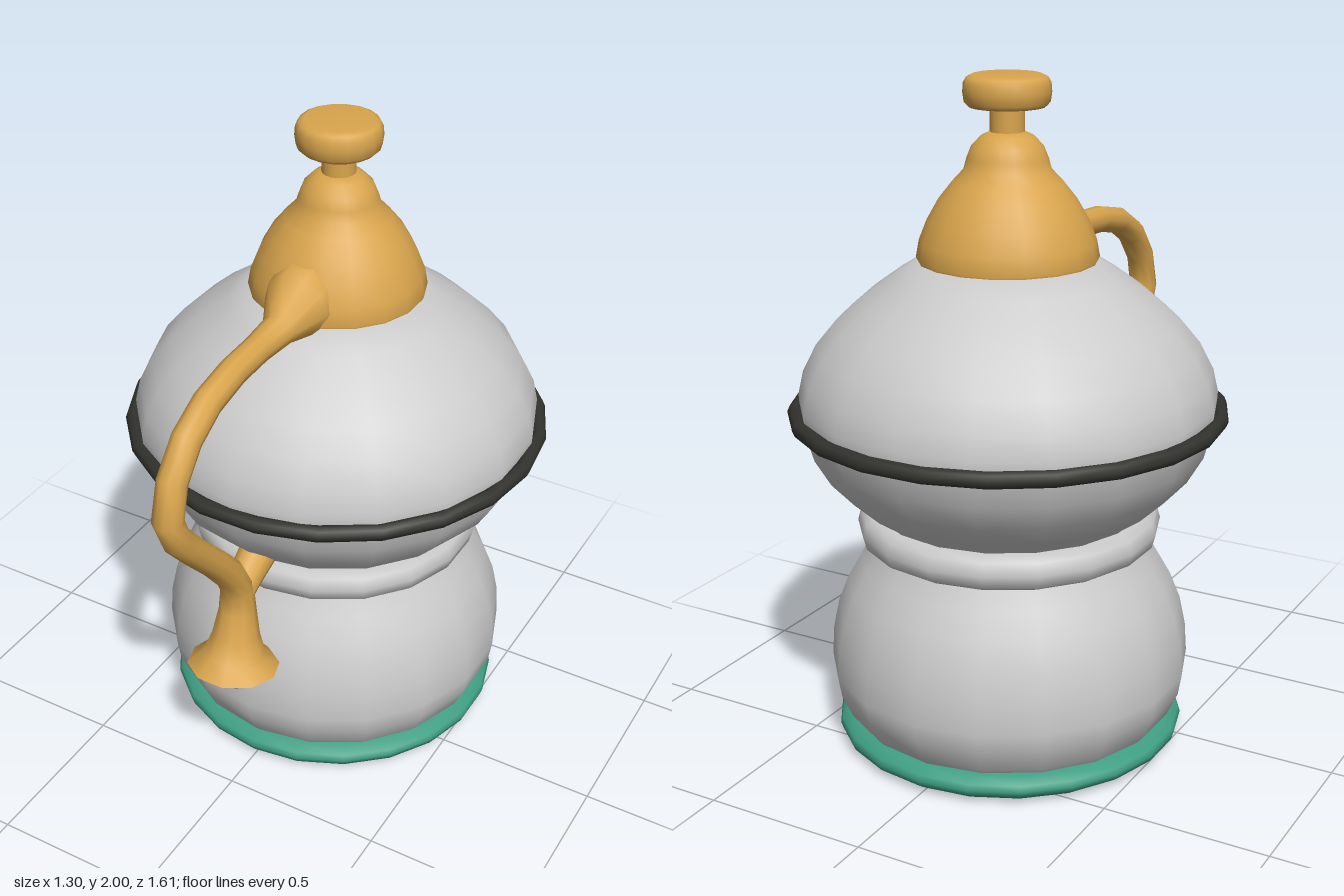
import * as THREE from 'three';

const CENTER_Z = -0.16;
const mat = (color) => new THREE.MeshStandardMaterial({ color });

export function createModel() {
  const group = new THREE.Group();
  const grey = mat(0xcccccc);
  const brass = mat(0xd9a54d);
  const black = mat(0x32322e);
  const green = mat(0x3f9f83);

  const add = (name, geometry, material) => {
    const mesh = new THREE.Mesh(geometry, material);
    mesh.name = name;
    group.add(mesh);
    return mesh;
  };

  // Turned part from [radius, height] points, bottom to top
  const turned = (name, points, material, sides = 18) => {
    const profile = points.map(([r, y]) => new THREE.Vector2(r, y));
    add(name, new THREE.LatheGeometry(profile, sides), material).position.z = CENTER_Z;
  };

  // Round section of varying radius swept along [z, y, radius] points in the x = 0 plane
  const swept = (name, path, material, sides = 10) => {
    const pos = [];
    const index = [];
    path.forEach(([z, y, r], i) => {
      const p = path[Math.max(i - 1, 0)];
      const n = path[Math.min(i + 1, path.length - 1)];
      const len = Math.hypot(n[0] - p[0], n[1] - p[1]);
      const tz = (n[0] - p[0]) / len;
      const ty = (n[1] - p[1]) / len;
      for (let j = 0; j < sides; j++) {
        const a = (j / sides) * Math.PI * 2;
        const s = r * Math.sin(a);
        pos.push(r * Math.cos(a), y + s * tz, z - s * ty);
        if (i === path.length - 1) continue;
        const k = (j + 1) % sides;
        const b = i * sides;
        index.push(b + j, b + k, b + sides + j, b + k, b + sides + k, b + sides + j);
      }
    });
    const geometry = new THREE.BufferGeometry();
    geometry.setAttribute('position', new THREE.Float32BufferAttribute(pos, 3));
    geometry.setIndex(index);
    geometry.computeVertexNormals();
    add(name, geometry, material);
  };

  // Foot plate with rounded rim
  turned('footPlate', [
    [0, 0], [0.46, 0], [0.5, 0.008], [0.524, 0.025], [0.53, 0.043],
    [0.524, 0.06], [0.5, 0.078], [0.46, 0.085], [0, 0.085],
  ], green, 22);

  // Lower and upper vessel
  turned('lowerVessel', [
    [0.47, 0.06], [0.505, 0.1], [0.537, 0.17], [0.547, 0.23], [0.541, 0.32],
    [0.522, 0.41], [0.49, 0.49], [0.45, 0.56], [0.41, 0.63], [0.39, 0.68],
  ], grey);
  turned('upperVessel', [
    [0.37, 0.69], [0.415, 0.735], [0.48, 0.78], [0.545, 0.85], [0.592, 0.93],
    [0.617, 1.02], [0.619, 1.07], [0.603, 1.14], [0.562, 1.22], [0.5, 1.295],
    [0.42, 1.365], [0.33, 1.43], [0.25, 1.48], [0, 1.5],
  ], grey);

  // Rounded collar at the waist
  turned('waistCollar', [
    [0.36, 0.62], [0.42, 0.62], [0.446, 0.635], [0.456, 0.672],
    [0.446, 0.71], [0.42, 0.725], [0.36, 0.725],
  ], grey);

  // Dark band around the widest line
  const band = new THREE.TorusGeometry(0.626, 0.025, 8, 22);
  band.rotateX(Math.PI / 2);
  add('bellyBand', band, black).position.set(0, 1.025, CENTER_Z);

  // Bell-shaped cap, its stem and knob
  turned('cap', [
    [0.255, 1.46], [0.265, 1.48], [0.256, 1.53], [0.232, 1.59], [0.198, 1.65],
    [0.158, 1.7], [0.125, 1.735], [0.117, 1.765], [0.103, 1.8], [0.076, 1.828],
    [0.05, 1.84], [0, 1.84],
  ], brass);
  turned('capUnderside', [[0, 1.46], [0.255, 1.46]], brass);
  turned('knobStem', [[0.05, 1.83], [0.05, 1.92]], brass);
  turned('knob', [
    [0, 1.91], [0.11, 1.91], [0.122, 1.922], [0.126, 1.95], [0.124, 1.977],
    [0.115, 1.992], [0.098, 2], [0, 2],
  ], brass);

  // Curved pipe from the cap down to the flared nozzle
  swept('pipe', [
    [0.03, 1.525, 0.11], [0.08, 1.518, 0.104], [0.185, 1.492, 0.05],
    [0.3, 1.49, 0.042], [0.42, 1.485, 0.042], [0.55, 1.458, 0.043],
    [0.655, 1.4, 0.044], [0.73, 1.31, 0.044], [0.76, 1.2, 0.045],
    [0.725, 1.115, 0.044], [0.65, 1.025, 0.043], [0.55, 0.915, 0.044],
    [0.475, 0.825, 0.047], [0.435, 0.745, 0.05], [0.435, 0.67, 0.056],
    [0.448, 0.58, 0.072], [0.46, 0.52, 0.094], [0.467, 0.475, 0.14],
  ], brass);
  swept('nozzleTip', [
    [0.467, 0.475, 0.14], [0.467, 0.425, 0.066], [0.467, 0.365, 0],
  ], brass);

  // Short bracket holding the pipe against the vessel
  swept('pipeBracket', [
    [0.45, 0.705, 0.045], [0.385, 0.755, 0.052], [0.315, 0.795, 0.058], [0.27, 0.82, 0.058],
  ], brass);

  return group;
}
